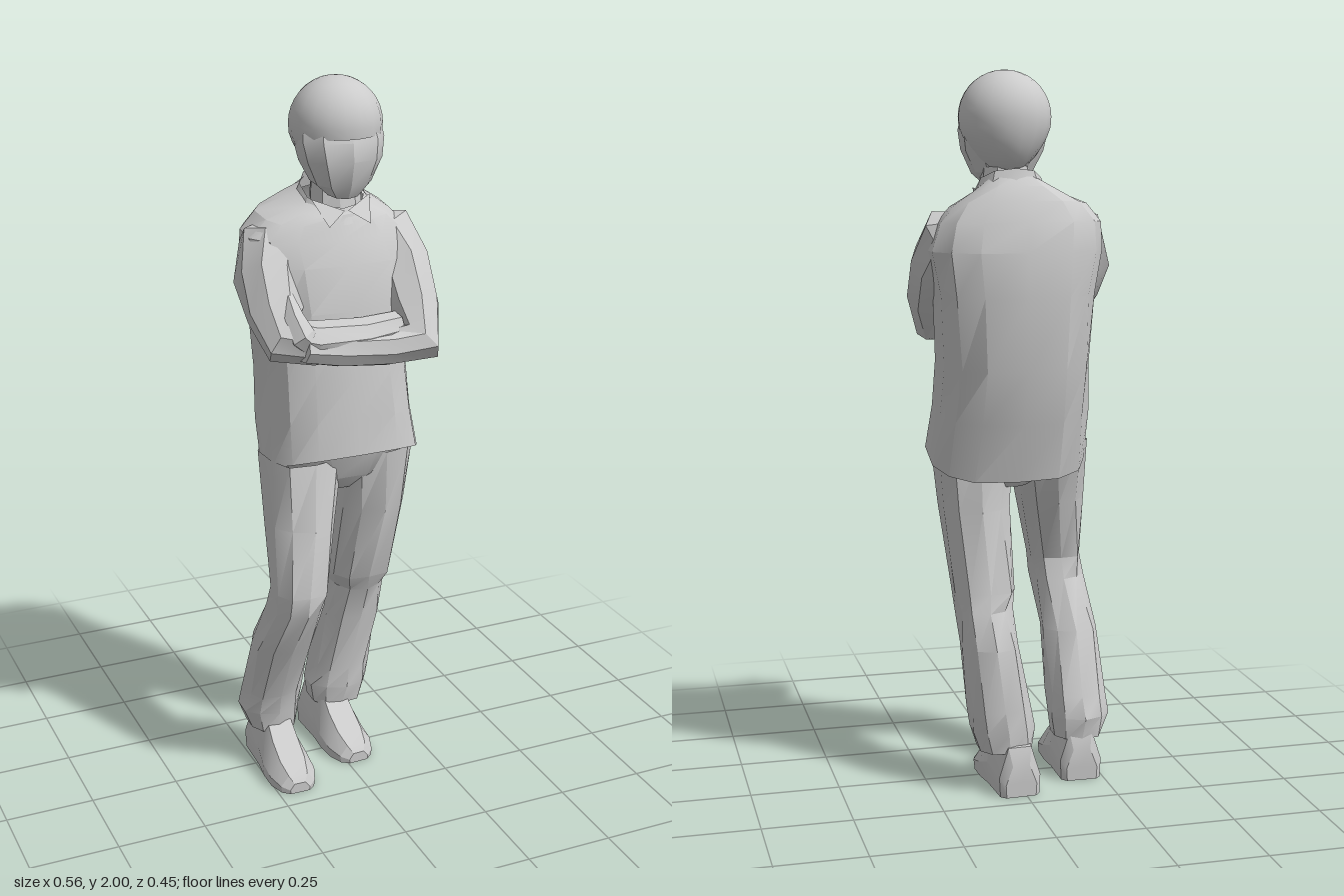
import * as THREE from 'three';
import { toCreasedNormals } from 'three/addons/utils/BufferGeometryUtils.js';

const material = new THREE.MeshStandardMaterial({ color: 0xcccccc, side: THREE.DoubleSide });

// Skin a list of rings (equal-length arrays of Vector3) and, if capped, close both ends.
function skin(name, rings, crease = 0.6, capped = true) {
  const n = rings[0].length;
  const pts = rings.flat();
  const index = [];
  for (let i = 0; i < rings.length - 1; i++) {
    for (let j = 0; j < n; j++) {
      const a = i * n + j, b = i * n + (j + 1) % n;
      index.push(a, a + n, b, b, a + n, b + n);
    }
  }
  if (capped) {
    [0, rings.length - 1].forEach((r, top) => {
      const mid = new THREE.Vector3();
      rings[r].forEach(p => mid.addScaledVector(p, 1 / n));
      const c = pts.push(mid) - 1;
      for (let j = 0; j < n; j++) {
        const a = r * n + j, b = r * n + (j + 1) % n;
        index.push(c, top ? b : a, top ? a : b);
      }
    });
  }
  const geo = new THREE.BufferGeometry().setFromPoints(pts);
  geo.setIndex(index);
  const mesh = new THREE.Mesh(toCreasedNormals(geo, crease), material);
  mesh.name = name;
  return mesh;
}

// Upright body part. Sections: [yFront, yBack, xMin, xMax, zFront, zBack].
function body(name, sections, { sides = 12, power = 0.75, fold = 0, crease = 0.6, capped = true } = {}) {
  const round = v => Math.sign(v) * Math.abs(v) ** power;
  const rings = sections.map(([yf, yb, x0, x1, zf, zb], i) =>
    Array.from({ length: sides }, (_, j) => {
      const t = (j + 0.5) / sides * Math.PI * 2;
      const k = 1 + fold * Math.sin(j * 2.4 + i * 3.7);
      const c = round(Math.cos(t)) * k, s = round(Math.sin(t)) * k;
      return new THREE.Vector3(
        (x0 + x1) / 2 + c * (x1 - x0) / 2,
        (yf + yb) / 2 + s * (yf - yb) / 2,
        (zf + zb) / 2 + s * (zf - zb) / 2);
    }));
  return skin(name, rings, crease, capped);
}

// Limb along a bent path. Stations: [x, y, z, radius].
function limb(name, stations, sides = 8, fold = 0.06) {
  const p = stations.map(s => new THREE.Vector3(s[0], s[1], s[2]));
  let u = new THREE.Vector3(1, 0, 0.3);
  const rings = p.map((c, i) => {
    const d0 = c.clone().sub(p[Math.max(i - 1, 0)]).normalize();
    const d1 = p[Math.min(i + 1, p.length - 1)].clone().sub(c).normalize();
    const t = d0.add(d1).normalize();
    u = u.clone().addScaledVector(t, -u.dot(t)).normalize();
    const v = u.clone().cross(t);
    return Array.from({ length: sides }, (_, j) => {
      const a = j / sides * Math.PI * 2;
      const r = stations[i][3] * (1 + fold * Math.sin(j * 2.6 + i * 2.1));
      return c.clone().addScaledVector(u, Math.cos(a) * r).addScaledVector(v, Math.sin(a) * r);
    });
  });
  return skin(name, rings, 0.5);
}

// Trouser leg. Stations: [y, centreX, centreZ, radiusX, radiusZ].
function leg(name, stations) {
  return body(name, stations.map(([y, x, z, rx, rz]) => [y, y, x - rx, x + rx, z + rz, z - rz]),
    { sides: 10, power: 0.85, fold: 0.06, crease: 0.45, capped: false });
}

// Shoe running heel to toe. Stations: [z, halfWidth, height].
function shoe(name, x, z, turn) {
  const outline = [[-0.95, 0], [-1, 0.4], [-0.55, 1], [0.55, 1], [1, 0.4], [0.95, 0]];
  const stations = [[-0.1, 0.045, 0.09], [-0.085, 0.06, 0.14], [0.03, 0.062, 0.16],
    [0.09, 0.069, 0.11], [0.15, 0.068, 0.075], [0.195, 0.052, 0.05], [0.212, 0.03, 0.03]];
  const mesh = skin(name, stations.map(([sz, w, h]) =>
    outline.map(([a, b]) => new THREE.Vector3(a * w, b * h, sz))), 0.4);
  mesh.position.set(x, 0, z);
  mesh.rotation.y = turn;
  return mesh;
}

// Rounded cap of hair: level over the brow, dropping and narrowing toward the nape.
function hairCap() {
  const geo = new THREE.SphereGeometry(1, 18, 18);
  const p = geo.attributes.position;
  for (let i = 0; i < p.count; i++) {
    const z = -0.052 + p.getZ(i) * 0.124;
    const low = 1.875 + p.getY(i) * (p.getY(i) > 0 ? 0.125 : 0.16);
    const y = Math.max(low, Math.min(1.85, 1.825 + z));
    const tuck = 1 - 2 * Math.max(0, 1.84 - y);
    p.setXYZ(i, 0.028 + p.getX(i) * 0.127 * tuck, y, z);
  }
  const mesh = new THREE.Mesh(toCreasedNormals(geo, 0.7), material);
  mesh.name = 'hair';
  return mesh;
}

export function createModel() {
  const model = new THREE.Group();
  model.name = 'standingFigure';

  // Head and neck
  model.add(hairCap());
  model.add(body('face', [
    [1.685, 1.71, -0.02, 0.075, 0.035, -0.07],
    [1.72, 1.73, -0.055, 0.11, 0.055, -0.09],
    [1.79, 1.78, -0.085, 0.14, 0.073, -0.11],
    [1.84, 1.84, -0.095, 0.15, 0.068, -0.13],
    [1.87, 1.87, -0.09, 0.145, 0.055, -0.13]], { sides: 10, power: 0.85, crease: 0.4 }));
  model.add(body('neck', [
    [1.64, 1.69, -0.045, 0.1, 0.015, -0.125],
    [1.72, 1.75, -0.04, 0.095, 0.0, -0.115]], { sides: 9, power: 1, capped: false }));

  // Loose jacket, longer at the back
  model.add(body('jacket', [
    [1.0, 0.885, -0.212, 0.235, 0.163, -0.14],
    [1.1, 1.05, -0.21, 0.22, 0.157, -0.185],
    [1.22, 1.2, -0.207, 0.21, 0.145, -0.22],
    [1.4, 1.4, -0.215, 0.225, 0.125, -0.23],
    [1.52, 1.52, -0.235, 0.245, 0.1, -0.226],
    [1.585, 1.6, -0.235, 0.225, 0.07, -0.203],
    [1.625, 1.655, -0.19, 0.18, 0.052, -0.18],
    [1.645, 1.695, -0.11, 0.125, 0.042, -0.158],
    [1.655, 1.72, -0.07, 0.1, 0.03, -0.135]],
  { sides: 14, power: 0.76, fold: 0.014, crease: 0.45, capped: false }));

  // Open collar with two folded points
  model.add(body('collar', [
    [1.62, 1.69, -0.09, 0.125, 0.055, -0.15],
    [1.66, 1.74, -0.07, 0.105, 0.03, -0.135]], { sides: 10, power: 0.9, capped: false }));
  for (const s of [-1, 1]) {
    const corners = [[0.005, 1.655, 0.04], [0.06, 1.62, 0.065], [0.085, 1.685, 0.0]];
    const flap = new THREE.BufferGeometry().setFromPoints(
      corners.map(([x, y, z]) => new THREE.Vector3(0.02 + s * x, y, z)));
    flap.setIndex(s > 0 ? [0, 1, 2] : [0, 2, 1]);
    flap.computeVertexNormals();
    const mesh = new THREE.Mesh(flap, material);
    mesh.name = s > 0 ? 'leftCollarPoint' : 'rightCollarPoint';
    model.add(mesh);
  }

  // Folded arms, the shoulders buried in the jacket
  model.add(limb('rightArm', [
    [-0.12, 1.575, -0.08, 0.055], [-0.168, 1.555, -0.05, 0.085], [-0.19, 1.485, 0.0, 0.091],
    [-0.2, 1.4, 0.07, 0.079], [-0.197, 1.345, 0.125, 0.066], [-0.12, 1.34, 0.15, 0.06],
    [0.02, 1.335, 0.145, 0.052], [0.13, 1.34, 0.13, 0.045]]));
  model.add(limb('leftArm', [
    [0.12, 1.57, -0.08, 0.055], [0.172, 1.55, -0.04, 0.087], [0.19, 1.48, 0.015, 0.091],
    [0.19, 1.385, 0.095, 0.081], [0.178, 1.305, 0.16, 0.066], [0.09, 1.3, 0.157, 0.052],
    [-0.05, 1.315, 0.163, 0.049], [-0.16, 1.335, 0.168, 0.042]]));
  model.add(limb('leftHand', [
    [-0.13, 1.33, 0.17, 0.03], [-0.165, 1.365, 0.172, 0.036],
    [-0.175, 1.41, 0.14, 0.03], [-0.175, 1.46, 0.095, 0.016]], 6));

  // Trousers: right knee bent forward, left leg straight and set back
  model.add(body('hips', [
    [0.87, 0.86, -0.045, 0.06, 0.07, -0.07],
    [0.92, 0.9, -0.13, 0.14, 0.118, -0.1],
    [1.0, 0.98, -0.2, 0.205, 0.14, -0.115]], { sides: 12 }));
  model.add(leg('rightLeg', [
    [0.12, -0.188, -0.035, 0.072, 0.075], [0.18, -0.193, -0.035, 0.088, 0.082],
    [0.24, -0.19, -0.02, 0.082, 0.08], [0.42, -0.186, 0.048, 0.083, 0.092],
    [0.56, -0.167, 0.115, 0.073, 0.092], [0.62, -0.162, 0.125, 0.077, 0.094],
    [0.8, -0.132, 0.068, 0.094, 0.108], [0.98, -0.11, 0.015, 0.11, 0.124]]));
  model.add(leg('leftLeg', [
    [0.12, 0.042, -0.105, 0.078, 0.078], [0.18, 0.05, -0.103, 0.093, 0.085],
    [0.24, 0.058, -0.103, 0.086, 0.086], [0.42, 0.083, -0.087, 0.084, 0.1],
    [0.52, 0.093, -0.06, 0.076, 0.092], [0.57, 0.088, -0.04, 0.09, 0.102],
    [0.8, 0.107, 0.0, 0.098, 0.114], [0.98, 0.108, 0.01, 0.11, 0.12]]));

  // Shoes
  model.add(shoe('rightShoe', -0.186, -0.015, -0.02));
  model.add(shoe('leftShoe', 0.022, -0.1, 0.05));
  return model;
}
